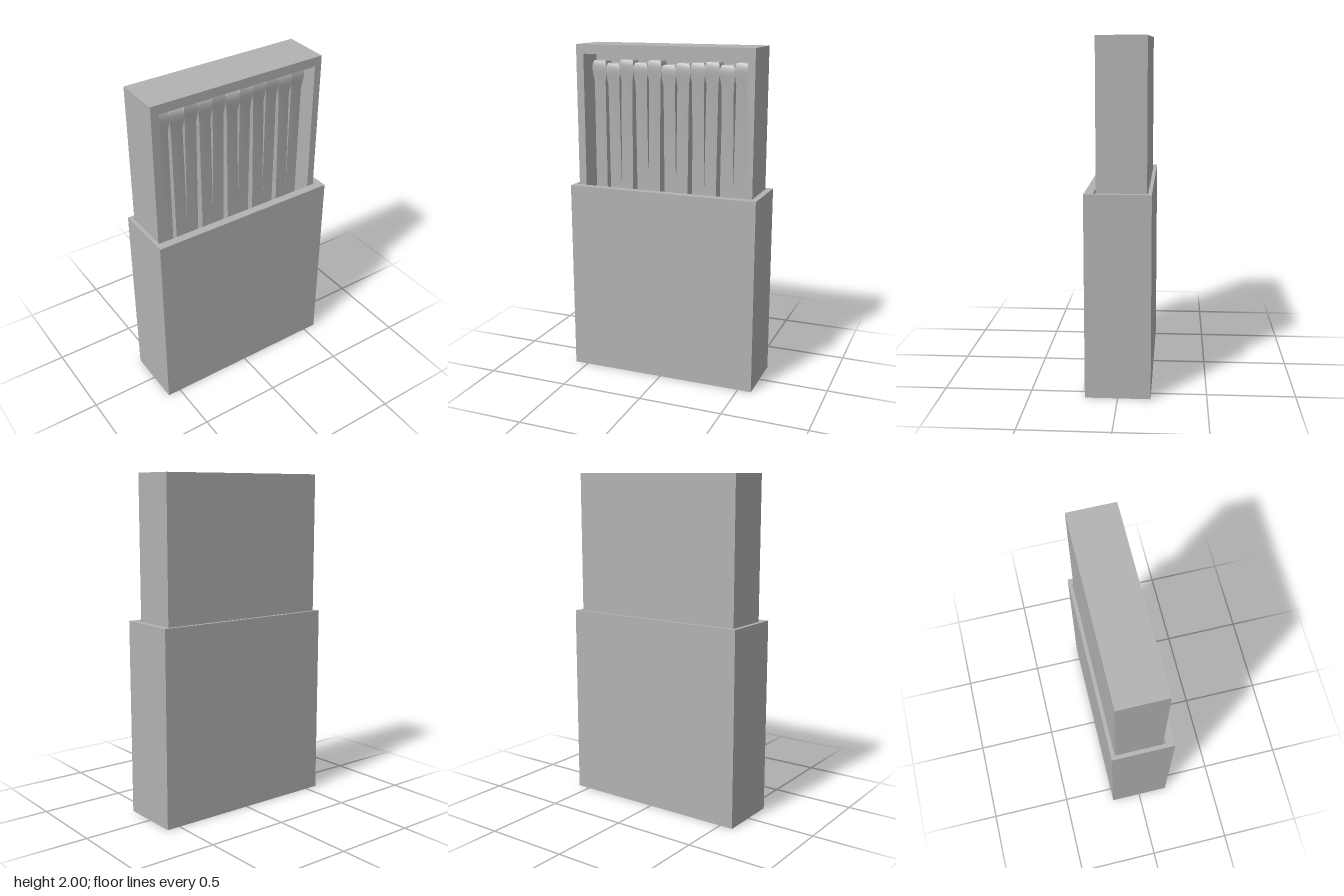
import * as THREE from 'three';
import { toCreasedNormals } from 'three/addons/utils/BufferGeometryUtils.js';

const card = new THREE.MeshStandardMaterial({ name: 'grey card', color: 0xb2b2b2 });

function part(name, geometry, parent) {
  const mesh = new THREE.Mesh(geometry, card);
  mesh.name = name;
  parent.add(mesh);
  return mesh;
}

function rect(path, x0, y0, x1, y1) {
  path.moveTo(x0, y0);
  path.lineTo(x1, y0);
  path.lineTo(x1, y1);
  path.lineTo(x0, y1);
  path.closePath();
  return path;
}

// Rectangular frame: outer and inner are [x0, y0, x1, y1]
function frame(outer, inner, depth) {
  const shape = rect(new THREE.Shape(), ...outer);
  shape.holes.push(rect(new THREE.Path(), ...inner));
  return new THREE.ExtrudeGeometry(shape, { depth, bevelEnabled: false });
}

// Square-section match standing up, with its origin at the top of the head
function matchGeometry() {
  const profile = [
    [0, -0.95], [0.037, -0.95], [0.036, -0.125], [0.045, -0.06],
    [0.045, -0.035], [0.042, -0.012], [0.035, 0], [0, 0],
  ].map(([half, y]) => new THREE.Vector2(half * Math.SQRT2, y));
  const geometry = new THREE.LatheGeometry(profile, 4);
  geometry.rotateY(Math.PI / 4);
  return toCreasedNormals(geometry, 0.7);
}

export function createModel() {
  const model = new THREE.Group();
  model.name = 'matchbox';

  // Outer sleeve, open at the top and closed underneath
  const sleeve = new THREE.Group();
  sleeve.name = 'sleeve';
  model.add(sleeve);
  const walls = frame([-0.582, -0.185, 0.582, 0.185], [-0.558, -0.135, 0.545, 0.163], 1.16);
  walls.rotateX(-Math.PI / 2);
  part('sleeveWalls', walls, sleeve);
  part('sleeveBase', new THREE.BoxGeometry(1.13, 0.02, 0.34), sleeve).position.y = 0.01;

  // Tray pulled up out of the sleeve, with its open side to the front
  const tray = new THREE.Group();
  tray.name = 'tray';
  model.add(tray);
  const rim = part('trayRim', frame([-0.555, 0.85, 0.542, 2], [-0.508, 0.89, 0.498, 1.945], 0.17), tray);
  rim.position.z = -0.05;
  const back = part('trayBack', new THREE.BoxGeometry(1.097, 1.15, 0.108), tray);
  back.position.set(-0.0065, 1.425, -0.104);

  // Row of matches, leaning together in pairs
  const matches = new THREE.Group();
  matches.name = 'matches';
  model.add(matches);
  const geometry = matchGeometry();
  const tops = [1.902, 1.887, 1.91, 1.895, 1.91, 1.887, 1.9, 1.904, 1.91, 1.896, 1.91];
  tops.forEach((top, i) => {
    const match = part('match', geometry, matches);
    match.position.set(-0.446 + 0.089 * i, top, -0.006);
    match.rotation.z = i === 0 ? 0 : (i % 2 ? 0.01 : -0.01);
  });

  return model;
}
